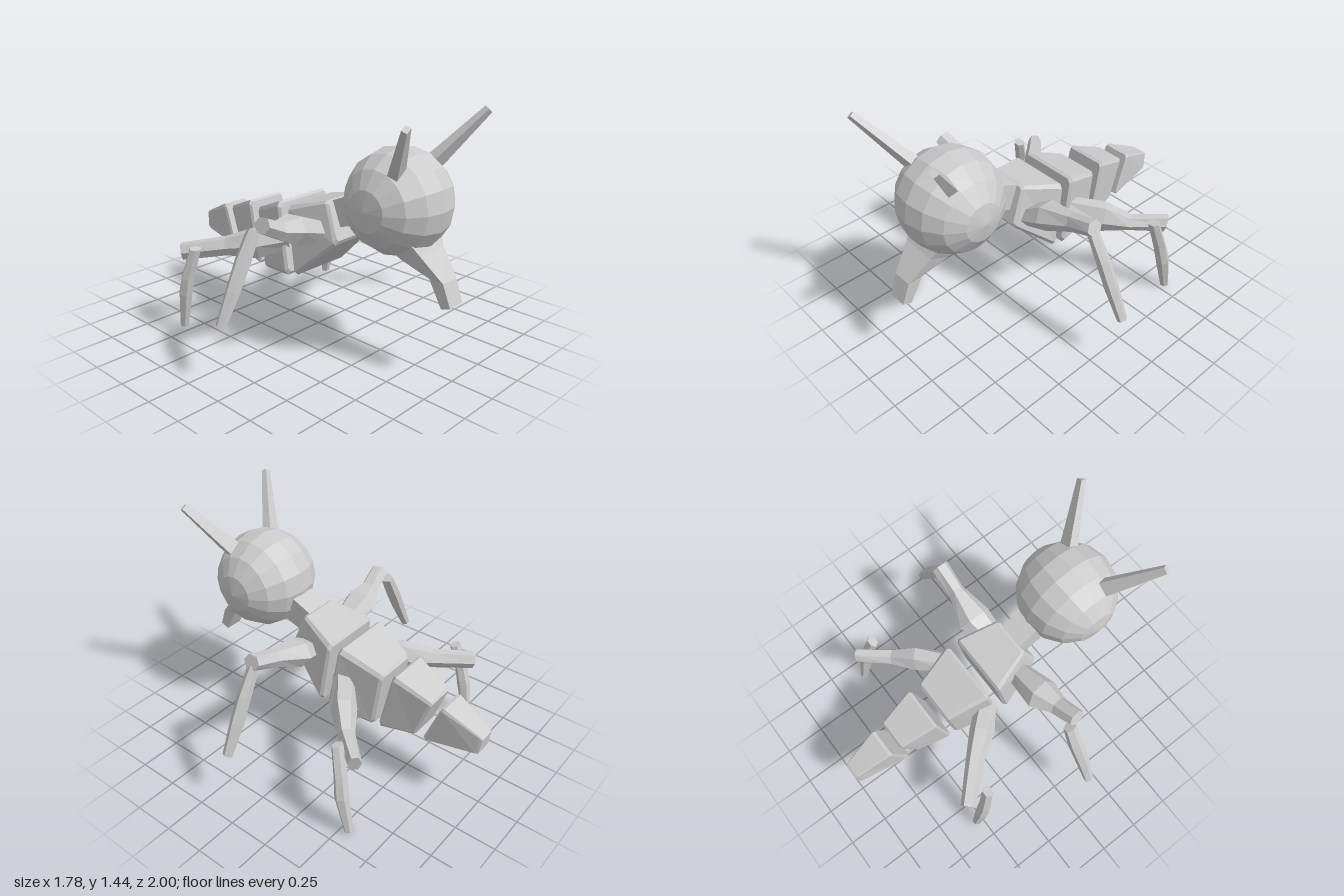
import * as THREE from 'three';

const V = (x, y, z) => new THREE.Vector3(x, y, z);
const material = new THREE.MeshStandardMaterial({ color: 0xcccccc, flatShading: true });

function part(name, geometry) {
  const mesh = new THREE.Mesh(geometry, material);
  mesh.name = name;
  return mesh;
}

// Skin a list of equal-sized rings and cap both ends
function loft(name, rings) {
  const n = rings[0].length, index = [];
  for (let i = 0; i < rings.length - 1; i++)
    for (let j = 0; j < n; j++) {
      const k = (j + 1) % n, a = i * n + j, b = i * n + k;
      index.push(a, b, b + n, a, b + n, a + n);
    }
  const last = (rings.length - 1) * n;
  for (let j = 1; j < n - 1; j++) index.push(0, j + 1, j, last, last + j, last + j + 1);
  const geometry = new THREE.BufferGeometry().setFromPoints(rings.flat());
  geometry.setIndex(index);
  const flat = geometry.toNonIndexed();
  flat.computeVertexNormals();
  return part(name, flat);
}

// Limb along sections [x, y, z, half width, half height]; ref sets the height direction
function limb(name, sections, sides, ref) {
  const at = (s) => V(s[0], s[1], s[2]);
  const t = at(sections[sections.length - 1]).sub(at(sections[0])).normalize();
  const side = ref.clone().cross(t).normalize();
  const up = t.clone().cross(side);
  const start = sides === 4 ? Math.PI / 4 : 0;
  const grow = sides === 4 ? Math.SQRT2 : 1;
  return loft(name, sections.map((s) => Array.from({ length: sides }, (_, j) => {
    const a = start + (j / sides) * Math.PI * 2;
    return at(s).addScaledVector(side, Math.cos(a) * s[3] * grow)
      .addScaledVector(up, Math.sin(a) * s[4] * grow);
  })));
}

// Ring spanned between an upper and a lower edge: [z, y, half width] each
const SQUARE = [[1, 0], [1, 1], [-1, 1], [-1, 0]];
const BEVELLED = [[1, 0.06], [1, 0.94], [0.9, 1], [-0.9, 1], [-1, 0.94], [-1, 0.06], [-0.9, 0], [0.9, 0]];
function edgeRing([top, bottom], outline, scale = 1) {
  return outline.map(([u, v]) => {
    const k = 0.5 + (v - 0.5) * scale;
    const mix = (i) => THREE.MathUtils.lerp(bottom[i], top[i], k);
    return V(u * mix(2) * scale, mix(1), mix(0));
  });
}

// Bevelled body block from its back face to its front face
function block(name, back, front) {
  const between = (f) => back.map((e, i) => e.map((v, j) => THREE.MathUtils.lerp(v, front[i][j], f)));
  return loft(name, [
    edgeRing(back, BEVELLED, 0.92), edgeRing(between(0.06), BEVELLED),
    edgeRing(between(0.94), BEVELLED), edgeRing(front, BEVELLED, 0.92),
  ]);
}

export function createModel() {
  const model = new THREE.Group();
  model.name = 'insect';
  const up = V(0, 1, 0), forward = V(0, 0, 1);

  // Head with its poles at the sides
  const head = part('head', new THREE.SphereGeometry(0.3, 16, 8).rotateZ(Math.PI / 2));
  head.position.set(0, 0.935, 0.6);
  model.add(head);

  // Neck and curved snout
  model.add(limb('neck', [[0, 0.835, 0.34, 0.08, 0.085], [0, 0.76, 0.14, 0.08, 0.075]], 4, up));
  const snout = loft('snout', [
    [[0.77, 0.80, 0.15], [0.65, 0.72, 0.15]],
    [[0.83, 0.71, 0.105], [0.72, 0.655, 0.105]],
    [[0.953, 0.575, 0.06], [0.865, 0.58, 0.06]],
    [[1.0, 0.45, 0.055], [0.945, 0.43, 0.055]],
  ].map((edges) => edgeRing(edges, SQUARE)));
  snout.position.x = -0.005;
  model.add(snout);

  // Antennae
  for (const s of [1, -1]) {
    const lean = -0.02;
    model.add(limb(s > 0 ? 'leftAntenna' : 'rightAntenna', [
      [s * 0.15 + lean / 2, 1.13, 0.70, 0.045, 0.03],
      [s * 0.345 + lean, 1.425, 0.91, 0.02, 0.016],
    ], 4, forward));
  }

  // Four body blocks, each given as back and front faces (upper edge, lower edge)
  model.add(
    block('thorax',
      [[-0.065, 0.80, 0.205], [0, 0.375, 0.215]], [[0.19, 0.87, 0.125], [0.28, 0.64, 0.145]]),
    block('frontAbdomen',
      [[-0.39, 0.70, 0.14], [-0.335, 0.325, 0.14]], [[-0.125, 0.815, 0.205], [-0.045, 0.37, 0.22]]),
    block('middleAbdomen',
      [[-0.695, 0.63, 0.095], [-0.6, 0.365, 0.10]], [[-0.455, 0.735, 0.14], [-0.37, 0.335, 0.145]]),
    block('tail',
      [[-1.0, 0.515, 0.05], [-0.985, 0.405, 0.06]], [[-0.755, 0.635, 0.095], [-0.65, 0.36, 0.105]]),
  );

  // Legs: a thigh and a shin each, with slightly different poses per side
  const legs = {
    leftFront: {
      thigh: [[0.14, 0.66, 0.15, 0.08, 0.06], [0.27, 0.72, 0.125, 0.105, 0.085],
        [0.46, 0.785, 0.13, 0.05, 0.055], [0.625, 0.845, 0.135, 0.055, 0.048]],
      shin: [[0.61, 0.815, 0.135, 0.03, 0.035], [0.70, 0.66, 0.135, 0.04, 0.04],
        [0.77, 0.52, 0.135, 0.042, 0.04], [0.865, 0.34, 0.135, 0.027, 0.03]],
    },
    rightFront: {
      thigh: [[-0.14, 0.68, 0.13, 0.07, 0.07], [-0.36, 0.75, 0.14, 0.105, 0.09],
        [-0.48, 0.78, 0.165, 0.06, 0.055], [-0.61, 0.845, 0.185, 0.055, 0.048]],
      shin: [[-0.62, 0.81, 0.13, 0.035, 0.04], [-0.70, 0.66, 0.13, 0.045, 0.045],
        [-0.78, 0.51, 0.135, 0.042, 0.04], [-0.87, 0.34, 0.135, 0.027, 0.03]],
    },
    leftRear: {
      thigh: [[0.15, 0.60, -0.12, 0.06, 0.05], [0.33, 0.53, -0.27, 0.075, 0.10],
        [0.45, 0.495, -0.38, 0.05, 0.05], [0.595, 0.48, -0.55, 0.04, 0.06]],
      shin: [[0.59, 0.545, -0.43, 0.04, 0.03], [0.62, 0.37, -0.475, 0.045, 0.035],
        [0.64, 0.24, -0.50, 0.045, 0.04], [0.642, 0.01, -0.55, 0.028, 0.025]],
    },
    rightRear: {
      thigh: [[-0.15, 0.58, -0.10, 0.06, 0.06], [-0.28, 0.55, -0.235, 0.075, 0.10],
        [-0.40, 0.525, -0.38, 0.055, 0.06], [-0.585, 0.49, -0.57, 0.045, 0.055]],
      shin: [[-0.59, 0.545, -0.43, 0.04, 0.03], [-0.62, 0.36, -0.475, 0.045, 0.035],
        [-0.625, 0.25, -0.50, 0.045, 0.04], [-0.62, 0.025, -0.54, 0.028, 0.025]],
    },
  };
  for (const [name, { thigh, shin }] of Object.entries(legs)) {
    const leg = new THREE.Group();
    leg.name = name + 'Leg';
    leg.add(limb(name + 'Thigh', thigh, 6, up), limb(name + 'Shin', shin, 6, forward));
    model.add(leg);
  }
  return model;
}
